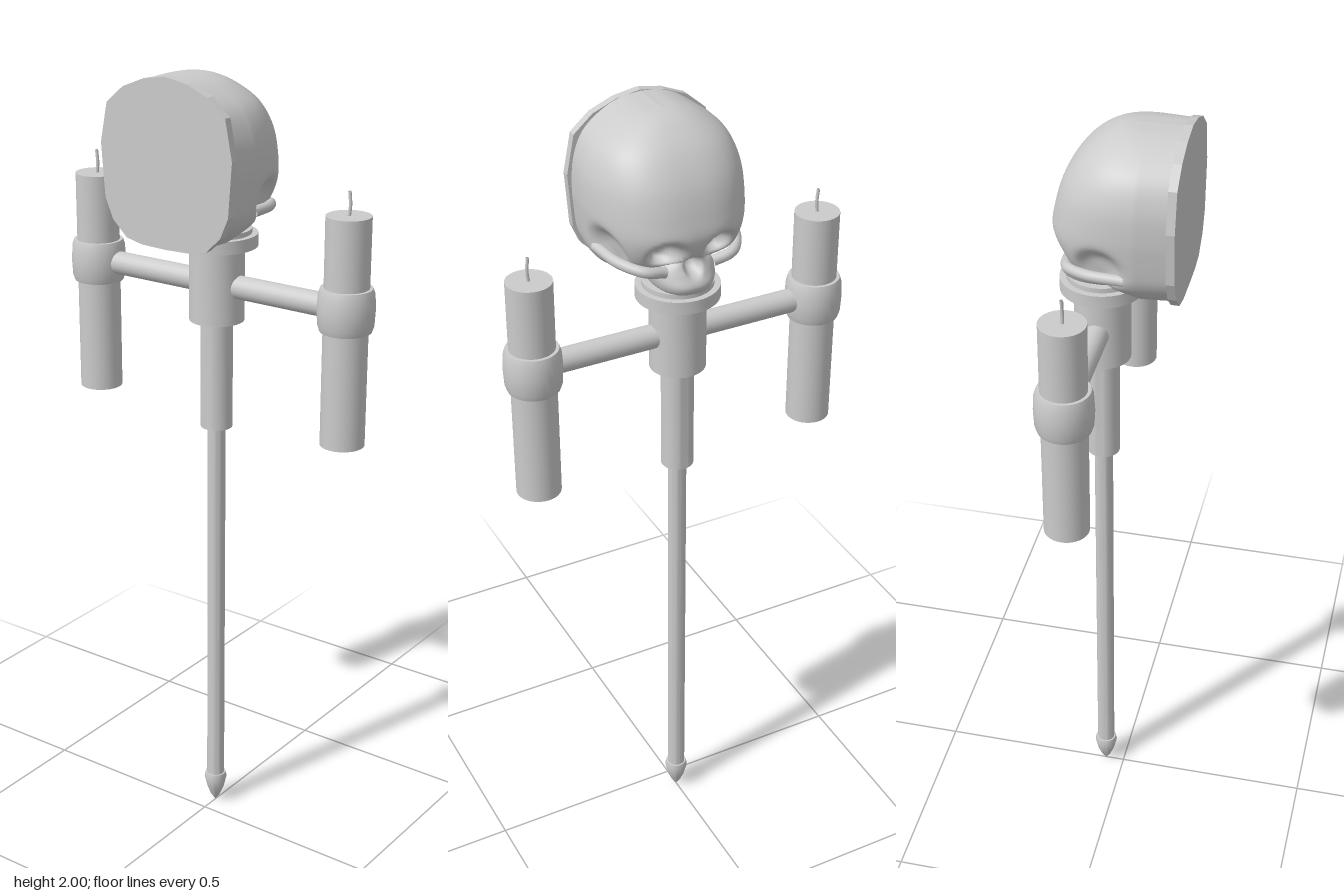
import * as THREE from 'three';
import { toCreasedNormals } from 'three/addons/utils/BufferGeometryUtils.js';

const AXIS = -0.05; // z of the staff and candles
const grey = new THREE.MeshStandardMaterial({ color: 0xcccccc, side: THREE.DoubleSide });

function add(parent, name, geometry, x = 0, y = 0, z = 0) {
  const mesh = new THREE.Mesh(geometry, grey);
  mesh.name = name;
  mesh.position.set(x, y, z);
  parent.add(mesh);
  return mesh;
}

// Upright solid turned from [radius, y] pairs
function turned(points, sides = 32) {
  const profile = points.map(([r, y]) => new THREE.Vector2(r, y));
  return toCreasedNormals(new THREE.LatheGeometry(profile, sides), 0.6);
}
const drum = (r, y0, y1, sides) => turned([[0, y0], [r, y0], [r, y1], [0, y1]], sides);

const bump = (a, b, ra, rb) => Math.exp(-Math.pow((a / ra) ** 2 + (b / rb) ** 2, 2));

// Hollows for the eyes, nose and temples
function carve(p) {
  const ax = Math.abs(p.x);
  if (p.z < -0.02) {
    p.z += 0.055 * bump(ax - 0.066, p.y - 1.715, 0.036, 0.031);
    p.z += 0.03 * bump(p.x, p.y - 1.675, 0.018, 0.022);
  }
  if (ax > 0.08) p.x -= Math.sign(p.x) * 0.028 * bump(p.z + 0.02, p.y - 1.71, 0.05, 0.045);
}

// Shell from [half width, y, front z] levels; each level is a rounded U open to the back
function shell(levels, zMid, zBack, backScale, rows = 72, cols = 96) {
  const curve = new THREE.CatmullRomCurve3(levels.map((l) => new THREE.Vector3(...l)), false, 'centripetal');
  const pos = [], index = [], p = new THREE.Vector3();
  for (let i = 0; i <= rows; i++) {
    const { x: w, y, z: front } = curve.getPoint(i / rows);
    for (let j = 0; j <= cols; j++) {
      if (j === 0 || j === cols) {
        p.set((j ? 1 : -1) * w * backScale, y, zBack);
      } else {
        const a = -Math.PI / 2 + (Math.PI * (j - 1)) / (cols - 2);
        const s = Math.sin(a), c = Math.max(0, Math.cos(a));
        p.set(Math.sign(s) * w * Math.abs(s) ** 0.8, y, zMid + (front - zMid) * c ** 0.8);
        carve(p);
      }
      pos.push(p.x, p.y, p.z);
      if (i < rows && j < cols) {
        const k = i * (cols + 1) + j, n = k + cols + 1;
        index.push(k, k + 1, n, k + 1, n + 1, n);
      }
    }
  }
  const g = new THREE.BufferGeometry();
  g.setAttribute('position', new THREE.Float32BufferAttribute(pos, 3));
  g.setIndex(index);
  g.computeVertexNormals();
  return g;
}

function makeSkull() {
  const skull = new THREE.Group();
  skull.name = 'skull';
  add(skull, 'cranium', shell([
    [0, 1.997, 0.04], [0.05, 1.992, 0], [0.1, 1.973, -0.04], [0.155, 1.93, -0.09],
    [0.181, 1.87, -0.128], [0.187, 1.8, -0.149], [0.184, 1.75, -0.155], [0.178, 1.7, -0.132],
    [0.172, 1.68, -0.11], [0.157, 1.655, -0.05], [0.13, 1.63, 0.01], [0.1, 1.612, 0.05], [0, 1.606, 0.06],
  ], 0.07, 0.14, 0.94));
  add(skull, 'upperJaw', shell([
    [0, 1.76, -0.12], [0.022, 1.75, -0.15], [0.032, 1.72, -0.138], [0.065, 1.685, -0.124],
    [0.078, 1.655, -0.135], [0.075, 1.63, -0.146], [0.064, 1.61, -0.135], [0, 1.605, -0.06],
  ], -0.04, 0.0, 0.9, 48, 64));

  // Cheekbones running back to the temples
  for (const s of [-1, 1]) {
    const path = new THREE.CatmullRomCurve3([
      new THREE.Vector3(s * 0.06, 1.665, -0.105), new THREE.Vector3(s * 0.11, 1.677, -0.105),
      new THREE.Vector3(s * 0.15, 1.685, -0.05), new THREE.Vector3(s * 0.165, 1.69, 0.04),
    ]);
    add(skull, s > 0 ? 'leftCheekbone' : 'rightCheekbone', new THREE.TubeGeometry(path, 24, 0.013, 12));
  }

  // Flat plate closing the skull
  const half = [[0, 2], [0.06, 1.99], [0.12, 1.966], [0.168, 1.925], [0.187, 1.83],
    [0.177, 1.7], [0.155, 1.65], [0.115, 1.612], [0.07, 1.602], [0, 1.6]];
  const outline = half.concat(half.slice(1, -1).reverse().map(([x, y]) => [-x, y]));
  const shape = new THREE.Shape(outline.map(([x, y]) => new THREE.Vector2(x, y)));
  add(skull, 'backPlate', new THREE.ExtrudeGeometry(shape, { depth: 0.02, bevelEnabled: false }), 0, 0, 0.135);
  return skull;
}

function makeCandle(s) {
  const group = new THREE.Group();
  group.name = s > 0 ? 'leftCandle' : 'rightCandle';
  group.position.set(s * 0.37, 0, AXIS);
  add(group, 'candle', drum(0.054, 1.135, 1.695));
  add(group, 'holderRing', turned([[0.05, 1.42], [0.062, 1.42], [0.067, 1.435], [0.069, 1.472],
    [0.067, 1.51], [0.062, 1.525], [0.05, 1.525]]));
  const wick = new THREE.CatmullRomCurve3([
    new THREE.Vector3(0, 1.69, 0), new THREE.Vector3(0.003, 1.72, 0), new THREE.Vector3(0, 1.752, 0),
  ]);
  add(group, 'wick', new THREE.TubeGeometry(wick, 8, 0.004, 8));
  return group;
}

export function createModel() {
  const model = new THREE.Group();
  model.name = 'skullStaff';

  // Staff, bottom to top
  add(model, 'tip', turned([[0, 0], [0.012, 0.018], [0.023, 0.045], [0.03, 0.075], [0.027, 0.09], [0, 0.09]], 20), 0, 0, AXIS);
  add(model, 'shaft', drum(0.023, 0.085, 1.11, 20), 0, 0, AXIS);
  add(model, 'sleeve', drum(0.04, 1.1, 1.39), 0, 0, AXIS);
  add(model, 'hub', drum(0.068, 1.38, 1.57), 0, 0, AXIS);
  add(model, 'collar', drum(0.1, 1.568, 1.6), 0, 0, AXIS);
  add(model, 'neck', drum(0.085, 1.6, 1.612), 0, 0, AXIS);

  // Cross arm and candles
  const arm = add(model, 'crossArm', new THREE.CylinderGeometry(0.029, 0.029, 0.68, 24), 0, 1.472, AXIS);
  arm.rotation.z = Math.PI / 2;
  for (const s of [-1, 1]) model.add(makeCandle(s));

  model.add(makeSkull());
  return model;
}
